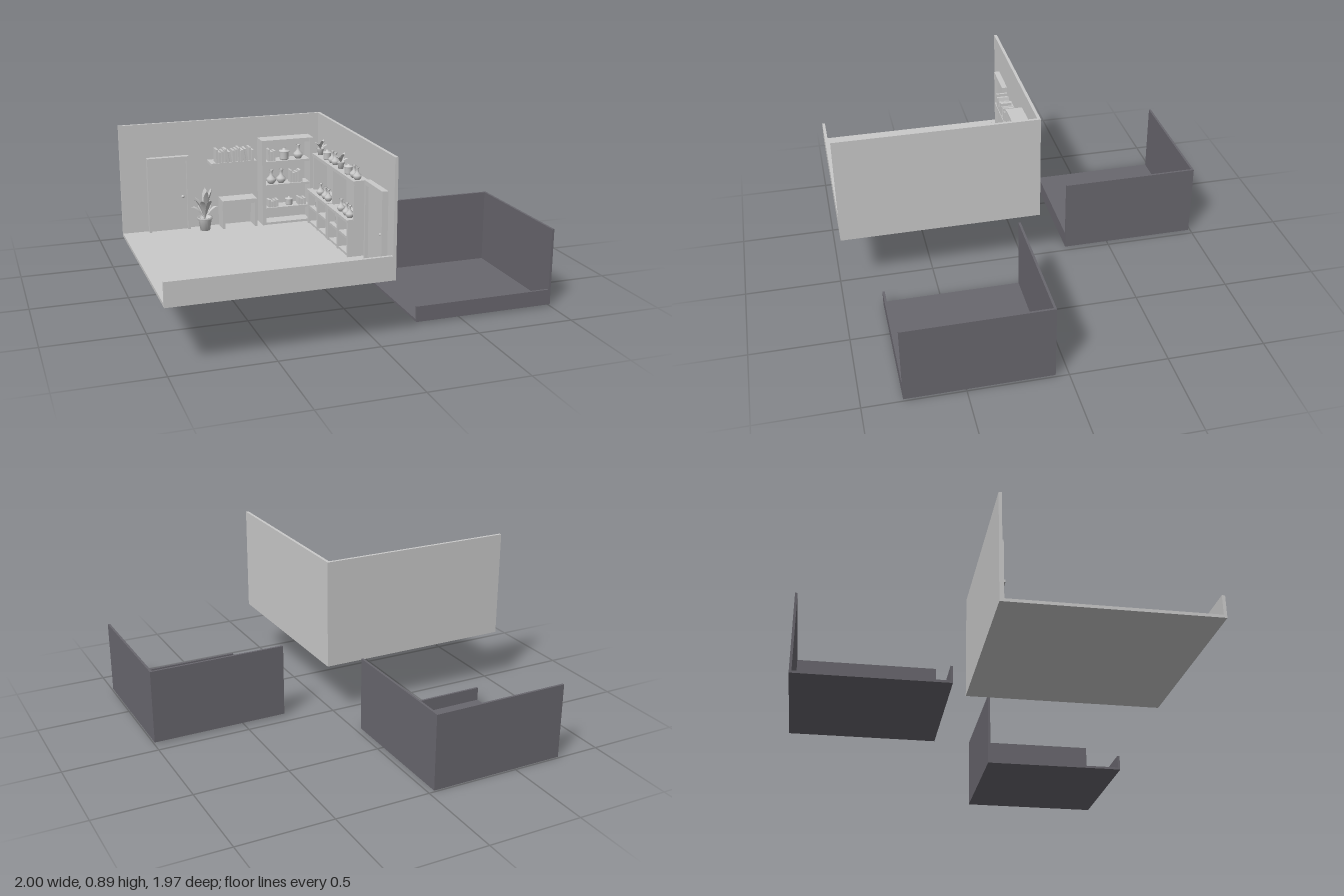
import * as THREE from 'three';

const light = new THREE.MeshStandardMaterial({ color: 0xcacaca, side: THREE.DoubleSide });
light.name = 'light grey';
const dark = new THREE.MeshStandardMaterial({ color: 0x69676e });
dark.name = 'dark grey';

function add(parent, name, geometry, material = light) {
  const mesh = new THREE.Mesh(geometry, material);
  mesh.name = name;
  parent.add(mesh);
  return mesh;
}

function group(parent, name, x = 0, y = 0, z = 0) {
  const g = new THREE.Group();
  g.name = name;
  g.position.set(x, y, z);
  parent.add(g);
  return g;
}

// Box given by its two extreme corners
function block(parent, name, x0, x1, y0, y1, z0, z1, material = light) {
  const mesh = add(parent, name, new THREE.BoxGeometry(x1 - x0, y1 - y0, z1 - z0), material);
  mesh.position.set((x0 + x1) / 2, (y0 + y1) / 2, (z0 + z1) / 2);
  return mesh;
}

// Floor, tall back and side walls, low front wall, open on the -x side
function room(parent, name, x0, x1, y0, y1, z0, z1, low, t, material) {
  const g = group(parent, name);
  block(g, 'floor', x0, x1 - t, y0, y0 + t, z0 + t, z1 - t, material);
  block(g, 'backWall', x0, x1 - t, y0, y1, z0, z0 + t, material);
  block(g, 'sideWall', x1 - t, x1, y0, y1, z0, z1, material);
  block(g, 'lowFrontWall', x0, x1 - t, y0, low, z1 - t, z1, material);
  return g;
}

// Turned ornament standing on its base; the profile is in units of its height
const profiles = {
  vase: [[0, 0], [0.2, 0], [0.34, 0.2], [0.33, 0.38], [0.12, 0.6], [0.1, 0.85], [0.18, 1], [0.12, 1], [0.06, 0.8]],
  jar: [[0, 0], [0.36, 0], [0.4, 0.1], [0.4, 0.62], [0.46, 0.66], [0.46, 0.78], [0.12, 0.84], [0.12, 1], [0, 1]],
  pot: [[0, 0], [0.36, 0], [0.5, 0.85], [0.56, 0.85], [0.56, 1], [0.46, 1], [0.42, 0.8], [0, 0.8]],
};
function turned(parent, kind, x, y, z, h) {
  const points = profiles[kind].map(([r, v]) => new THREE.Vector2(r * h, v * h));
  add(parent, kind, new THREE.LatheGeometry(points, 16)).position.set(x, y, z);
}

// Row of upright books along x, the last few leaning
function books(parent, x, y, z, count, h, depth = 0.045) {
  const g = group(parent, 'books', x, y, z);
  for (let i = 0; i < count; i++) {
    const height = h * (1 - 0.07 * ((i * 3) % 4));
    const geometry = new THREE.BoxGeometry(0.011, height, depth).translate(0, height / 2, 0);
    const book = add(g, 'book', geometry);
    book.position.x = (i + 0.5) * 0.0145;
    if (i % 6 > 3) book.rotation.z = 0.17;
  }
}

// Arching pointed leaf growing out along +x
function leafGeometry(length, width, rise, droop) {
  const geometry = new THREE.PlaneGeometry(1, 1, 8, 2);
  const p = geometry.attributes.position;
  for (let i = 0; i < p.count; i++) {
    const t = p.getX(i) + 0.5, s = p.getY(i);
    const w = width * Math.sin(Math.PI * Math.pow(t, 1.4)) + 0.003 * (1 - t);
    p.setXYZ(i, length * t, rise * t - droop * t * t + Math.abs(s) * w * 0.3, s * w);
  }
  geometry.computeVertexNormals();
  return geometry;
}

function plant(parent, x, y, z, potHeight, reach, height, leaves) {
  const g = group(parent, 'pottedPlant', x, y, z);
  turned(g, 'pot', 0, 0, 0, potHeight);
  for (let i = 0; i < leaves; i++) {
    const k = (i % 3) / 2;
    const leaf = add(g, 'leaf', leafGeometry(reach * (1 - 0.4 * k), reach * 0.4,
      height * (0.8 + 0.6 * k), height * 0.4));
    leaf.position.y = potHeight * 0.8;
    leaf.rotation.y = i * 2.4;
  }
}

// Door with surround, facing +z, origin at the bottom centre of its back
function door(parent, x, y, z, w, h, d) {
  const g = group(parent, 'door', x, y, z);
  const f = 0.013;
  block(g, 'leftJamb', w / 2 - f, w / 2, 0, h, 0, d);
  block(g, 'rightJamb', -w / 2, -w / 2 + f, 0, h, 0, d);
  block(g, 'lintel', -w / 2, w / 2, h - f * 1.7, h, 0, d);
  block(g, 'doorPanel', -w / 2 + f, w / 2 - f, 0, h - f * 1.7, 0, d * 0.45);
  const knob = add(g, 'knob', new THREE.SphereGeometry(0.008, 12, 8));
  knob.position.set(w / 2 - 0.035, h * 0.45, d * 0.45 + 0.007);
  return g;
}

export function createModel() {
  const model = new THREE.Group();
  model.name = 'rooms';
  const main = room(model, 'mainRoom', -1, 0.073, 0.31, 0.89, -0.083, 0.98, 0.428, 0.016, light);
  room(model, 'rearRoom', -0.768, -0.034, 0, 0.402, -0.99, -0.258, 0.085, 0.012, dark);
  room(model, 'sideRoom', 0.262, 0.998, 0.01, 0.408, 0.068, 0.802, 0.09, 0.012, dark);
  const floor = 0.326, back = -0.067, wall = 0.057;

  door(main, -0.76, floor, back, 0.215, 0.39, 0.03);
  const sideDoor = door(main, wall, floor, 0.8, 0.22, 0.39, 0.03);
  sideDoor.rotation.y = -Math.PI / 2;
  plant(main, -0.585, floor, 0, 0.07, 0.07, 0.16, 12);

  // Wall shelf above a small desk
  const shelf = group(main, 'wallShelf');
  block(shelf, 'shelfBoard', -0.55, -0.31, 0.667, 0.682, back, 0.027);
  books(shelf, -0.525, 0.682, -0.006, 14, 0.07, 0.06);
  const desk = group(main, 'desk');
  block(desk, 'deskTop', -0.495, -0.31, 0.455, 0.478, back, 0.027);
  for (const x of [-0.495, -0.322]) block(desk, 'deskSide', x, x + 0.012, floor, 0.455, back, 0.022);
  block(desk, 'deskBack', -0.483, -0.322, 0.38, 0.455, back, back + 0.01);

  // Tall bookcase against the back wall
  const bookcase = group(main, 'bookcase');
  for (const x of [-0.28, -0.02]) block(bookcase, 'sidePanel', x, x + 0.02, floor, 0.78, back, 0.025);
  block(bookcase, 'backPanel', -0.26, -0.02, floor, 0.76, back, back + 0.008);
  for (const y of [0.76, 0.655, 0.53, 0.405, 0.326]) {
    block(bookcase, 'shelf', -0.26, -0.02, y, y + (y > 0.7 ? 0.02 : 0.012), back, 0.022);
  }
  books(bookcase, -0.245, 0.667, -0.01, 3, 0.062);
  turned(bookcase, 'jar', -0.15, 0.667, -0.01, 0.06);
  turned(bookcase, 'vase', -0.073, 0.667, -0.01, 0.072);
  turned(bookcase, 'vase', -0.222, 0.542, -0.01, 0.072);
  turned(bookcase, 'vase', -0.168, 0.542, -0.01, 0.072);
  books(bookcase, -0.125, 0.542, -0.01, 5, 0.065);
  books(bookcase, -0.245, 0.417, -0.01, 4, 0.04);
  turned(bookcase, 'jar', -0.125, 0.417, -0.01, 0.045);
  books(bookcase, -0.08, 0.417, -0.01, 3, 0.04);

  // Long high shelf on the side wall with ornaments
  const ledge = group(main, 'highShelf');
  block(ledge, 'shelfBoard', -0.02, wall, 0.69, 0.706, 0.065, 0.665);
  for (const z of [0.065, 0.358, 0.65]) block(ledge, 'upright', -0.015, wall, 0.51, 0.69, z, z + 0.015);

  // Two low cabinets below it, each with the same set of objects
  for (const z of [0.05, 0.355]) {
    const cabinet = group(main, 'cabinet');
    block(cabinet, 'cabinetTop', -0.045, wall, 0.498, 0.512, z, z + 0.295);
    block(cabinet, 'cabinetBack', wall - 0.01, wall, floor, 0.498, z, z + 0.295);
    for (const dz of [0, 0.14, 0.28]) block(cabinet, 'divider', -0.04, wall, floor, 0.498, z + dz, z + dz + 0.015);
    for (const y of [floor, 0.41]) block(cabinet, 'shelf', -0.035, wall, y, y + 0.012, z, z + 0.295);
    plant(cabinet, 0.01, 0.706, z + 0.06, 0.035, 0.04, 0.05, 9);
    [0.165, 0.24, 0.284].forEach((dz, i) => {
      turned(cabinet, i ? 'vase' : 'jar', 0.01, 0.706, z + dz, i ? 0.06 : 0.05);
      turned(cabinet, 'vase', -0.015, 0.512, z + dz - 0.03, 0.06);
    });
    const row = group(cabinet, 'cabinetBooks', 0.01, 0.422, z + 0.12);
    row.rotation.y = Math.PI / 2;
    books(row, 0, 0, 0, 6, 0.065);
  }
  return model;
}
